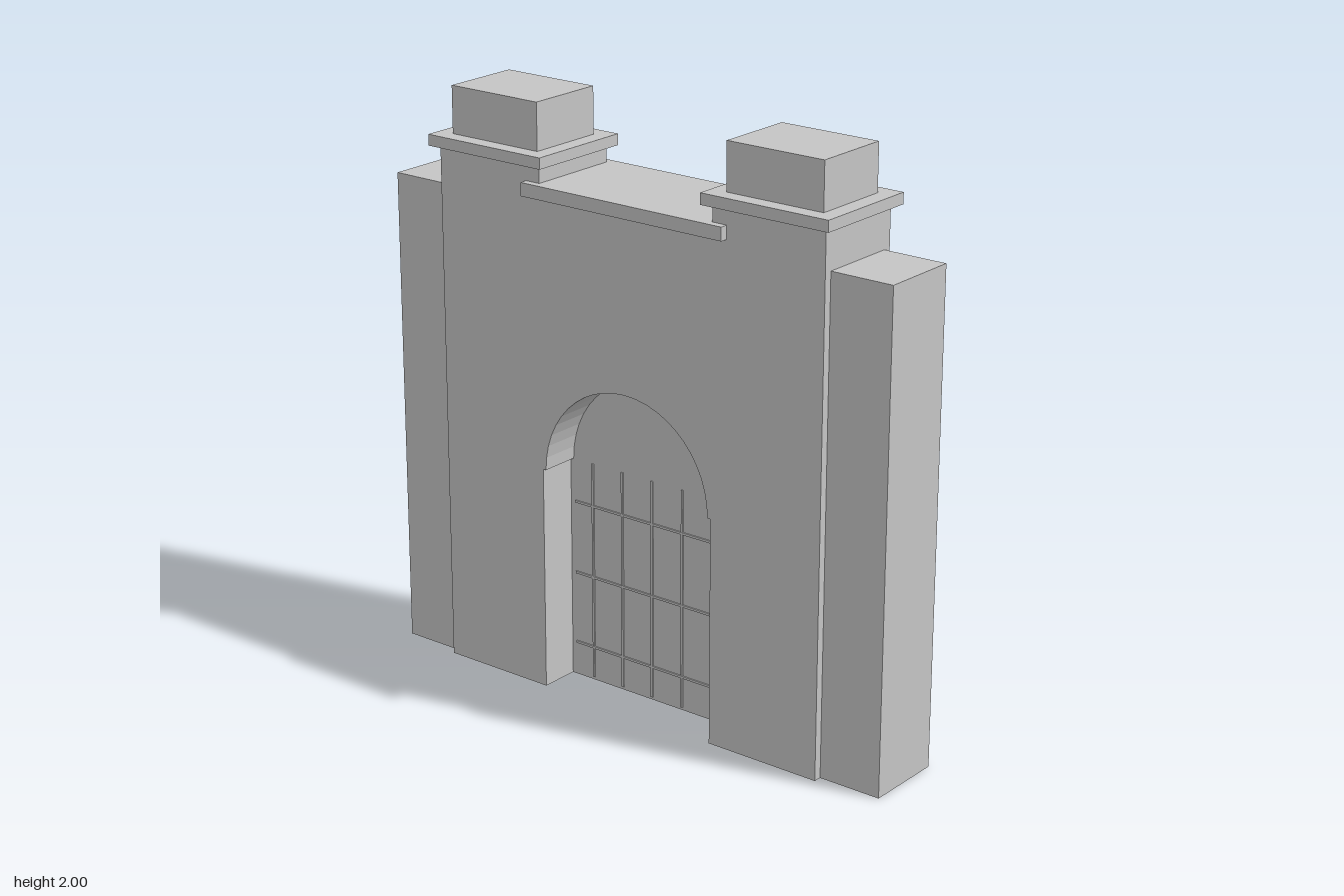
import * as THREE from 'three';

export function createModel() {
  const group = new THREE.Group();
  const stone = new THREE.MeshStandardMaterial({ color: 0xc5c5c5 });
  stone.name = 'light grey stone';

  function add(name, geometry, x = 0, y = 0, z = 0) {
    const mesh = new THREE.Mesh(geometry, stone);
    mesh.name = name;
    mesh.position.set(x, y, z);
    group.add(mesh);
    return mesh;
  }
  // box standing on y0, reaching up to y1
  const block = (name, w, y0, y1, d, x = 0) =>
    add(name, new THREE.BoxGeometry(w, y1 - y0, d), x, (y0 + y1) / 2);

  const extrude = (shape, depth) => {
    const g = new THREE.ExtrudeGeometry(shape, { depth, bevelEnabled: false, curveSegments: 12 });
    return g.translate(0, 0, -depth / 2);
  };

  // gatehouse wall: two towers, lower middle, arched passage stepped at the spring line
  const jamb = 0.345, radius = 0.333, spring = 0.78;
  const wall = new THREE.Shape();
  wall.moveTo(-0.766, 0);
  wall.lineTo(-jamb, 0);
  wall.lineTo(-jamb, spring);
  wall.lineTo(-radius, spring);
  wall.absarc(0, spring, radius, Math.PI, 0, true);
  wall.lineTo(jamb, spring);
  wall.lineTo(jamb, 0);
  wall.lineTo(0.766, 0);
  wall.lineTo(0.766, 1.805);
  wall.lineTo(0.345, 1.805);
  wall.lineTo(0.345, 1.74);
  wall.lineTo(-0.345, 1.74);
  wall.lineTo(-0.345, 1.805);
  wall.lineTo(-0.766, 1.805);
  wall.closePath();
  add('gateWall', extrude(wall, 0.334));

  // slab over the gate
  block('parapetSlab', 0.8, 1.702, 1.747, 0.388);

  // tower tops and side walls, mirrored
  for (const [side, s] of [['left', 1], ['right', -1]]) {
    block(side + 'TowerLedge', 0.474, 1.802, 1.84, 0.388, s * 0.556);
    block(side + 'TowerTop', 0.36, 1.84, 2, 0.278, s * 0.556);
    block(side + 'SideWall', 0.224, 0, 1.667, 0.278, s * 0.877);
  }

  // gate panel filling the arch
  const panel = new THREE.Shape();
  panel.moveTo(-jamb, 0);
  panel.lineTo(jamb, 0);
  panel.lineTo(jamb, spring);
  panel.lineTo(radius, spring);
  panel.absarc(0, spring, radius, 0, Math.PI, false);
  panel.lineTo(-jamb, spring);
  panel.closePath();
  add('gatePanel', extrude(panel, 0.055));

  // grille bars showing on both faces of the panel
  for (let i = -2; i <= 2; i++) block('uprightBar', 0.008, 0.01, spring, 0.063, i * 0.125);
  for (let i = 0; i < 3; i++) {
    const y = 0.12 + i * 0.255;
    block('crossBar', 0.65, y - 0.004, y + 0.004, 0.064);
  }
  return group;
}
